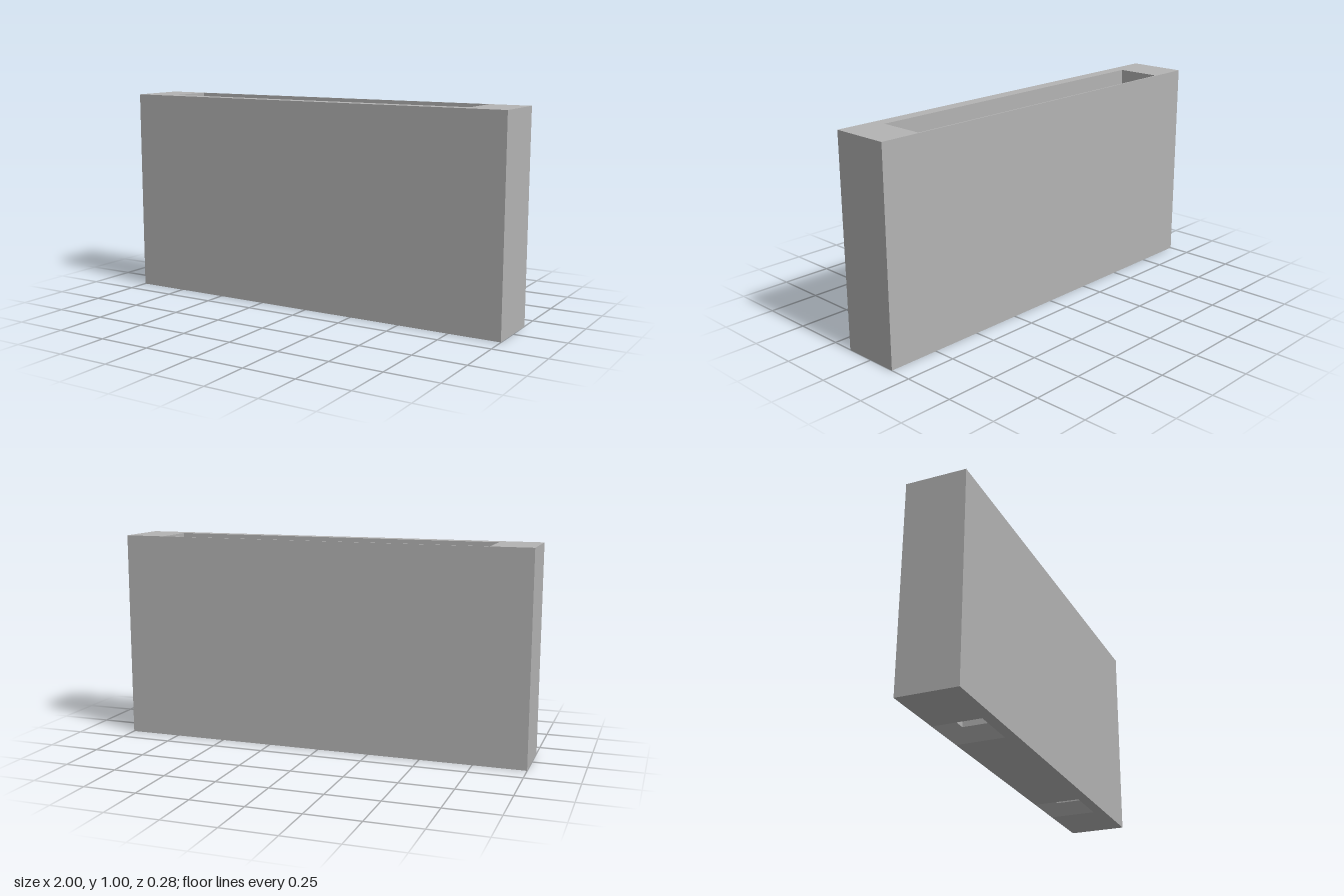
import * as THREE from 'three';

// A level rectangle: x range, z range and height
const rect = (x0, x1, z0, z1, y) => ({ x0, x1, z0, z1, y });

const corners = (r) => [[r.x0, r.z1], [r.x1, r.z1], [r.x1, r.z0], [r.x0, r.z0]];

// Four flat walls between two rectangles: facing out from bottom to top, facing in from top to bottom
function walls(a, b) {
  const ca = corners(a), cb = corners(b), pos = [];
  for (let i = 0; i < 4; i++) {
    const j = (i + 1) % 4;
    const p = [ca[i][0], a.y, ca[i][1]], q = [ca[j][0], a.y, ca[j][1]];
    const r = [cb[j][0], b.y, cb[j][1]], s = [cb[i][0], b.y, cb[i][1]];
    pos.push(...p, ...q, ...r, ...p, ...r, ...s);
  }
  const g = new THREE.BufferGeometry();
  g.setAttribute('position', new THREE.Float32BufferAttribute(pos, 3));
  g.computeVertexNormals();
  return g;
}

// A level face with rectangular openings, facing up (1) or down (-1)
function face(outline, openings, dir) {
  const pts = (r) => corners(r).map(([x, z]) => new THREE.Vector2(x, -dir * z));
  const shape = new THREE.Shape(pts(outline));
  for (const o of openings) shape.holes.push(new THREE.Path(pts(o)));
  const g = new THREE.ShapeGeometry(shape);
  g.rotateX(-dir * Math.PI / 2);
  g.translate(0, outline.y, 0);
  return g;
}

export function createModel() {
  const model = new THREE.Group();
  model.name = 'slottedBlock';
  const grey = new THREE.MeshStandardMaterial({ color: 0xb3b3b3, side: THREE.DoubleSide });
  grey.name = 'grey';
  const add = (name, geometry) => {
    const mesh = new THREE.Mesh(geometry, grey);
    mesh.name = name;
    model.add(mesh);
  };

  const base = rect(-1, 1, -0.1425, 0.1425, 0);
  const top = { ...base, y: 1 };
  const rim = rect(-0.803, 0.803, -0.136, 0.08, 1);
  const shoulder = { ...rim, y: 0.22 };
  const floor = { ...rim, x0: -0.692, x1: 0.692, y: 0.11 };

  // Square drain holes, flared at the underside
  const square = (x, half, y) => rect(x - half, x + half, -0.026 - half, -0.026 + half, y);
  const holes = [-0.567, 0.567].map((x) => ({
    mouth: square(x, 0.115, 0),
    neck: square(x, 0.062, 0.055),
    upper: square(x, 0.062, 0.11),
  }));

  // Outer block
  add('outerWalls', walls(base, top));
  add('topFace', face(top, [rim], 1));
  add('underside', face(base, holes.map((h) => h.mouth), -1));

  // Deep pocket, narrowing at both ends above its floor
  add('pocketWalls', walls(rim, shoulder));
  add('pocketLowerWalls', walls(shoulder, floor));
  add('pocketFloor', face(floor, holes.map((h) => h.upper), 1));

  for (const h of holes) {
    add('holeShaft', walls(h.upper, h.neck));
    add('holeFlare', walls(h.neck, h.mouth));
  }
  return model;
}
